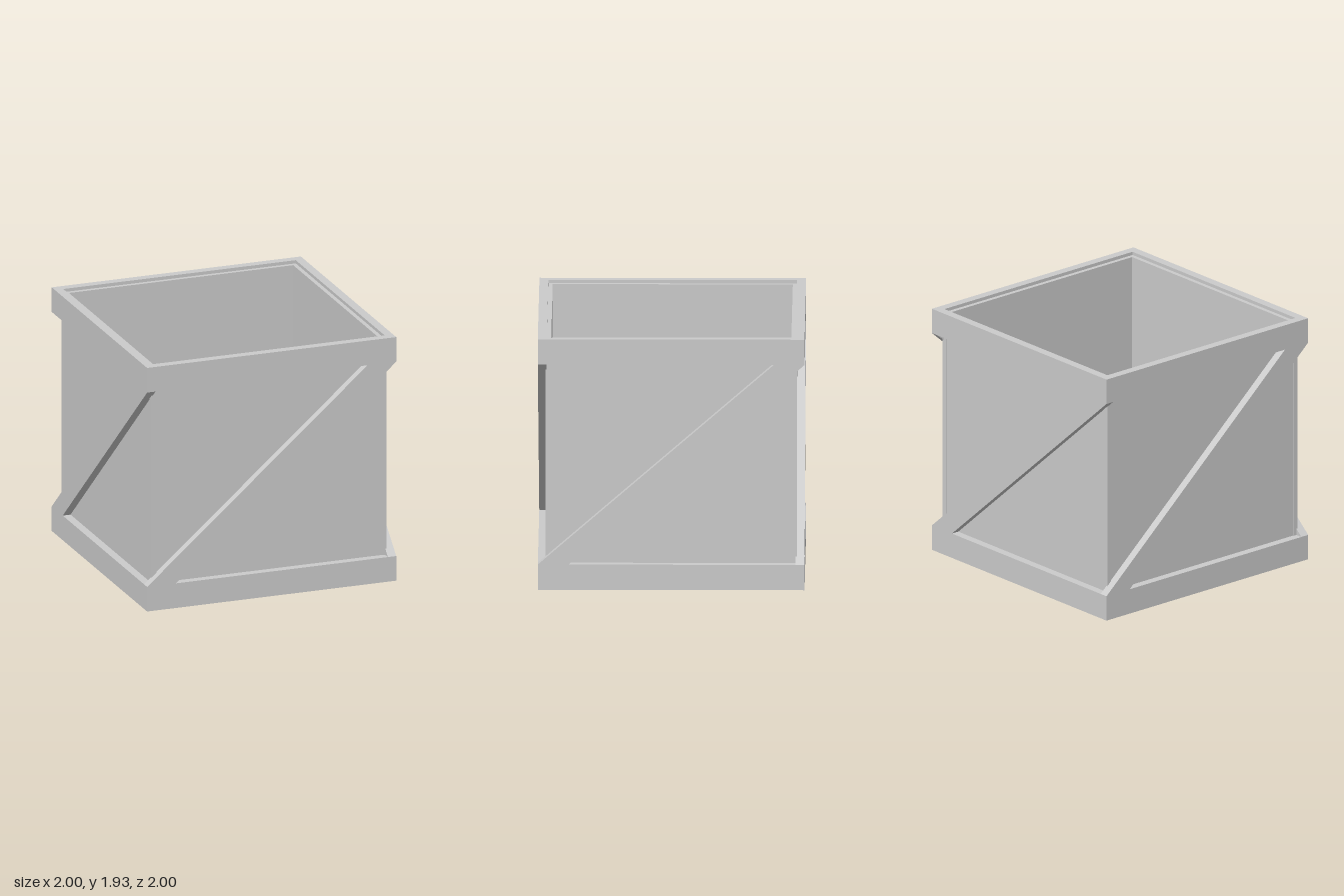
import * as THREE from 'three';

const HEIGHT = 1.93;
const BAND = 0.195; // height of the top and bottom bands
const WALL_BOTTOM = 0.023, WALL_TOP = 1.905;

const material = new THREE.MeshStandardMaterial({ color: 0xcccccc, flatShading: true });

function square(half, Type) {
  return new Type([[-1, -1], [1, -1], [1, 1], [-1, 1]].map(([x, y]) => new THREE.Vector2(x * half, y * half)));
}

// Square ring standing upright between two heights
function ring(name, outer, inner, y0, y1) {
  const shape = square(outer, THREE.Shape);
  shape.holes.push(square(inner, THREE.Path));
  const geometry = new THREE.ExtrudeGeometry(shape, { depth: y1 - y0, bevelEnabled: false });
  geometry.rotateX(-Math.PI / 2).translate(0, y0, 0);
  const mesh = new THREE.Mesh(geometry, material);
  mesh.name = name;
  return mesh;
}

function box(name, w, h, d, x, y, z) {
  const mesh = new THREE.Mesh(new THREE.BoxGeometry(w, h, d), material);
  mesh.name = name;
  mesh.position.set(x, y, z);
  return mesh;
}

export function createModel() {
  const crate = new THREE.Group();
  crate.name = 'crate';

  // Heavy bands around the top and bottom
  crate.add(ring('bottomBand', 1, 0.933, 0, BAND));
  crate.add(ring('topBand', 1, 0.933, HEIGHT - BAND, HEIGHT));

  // Thin walls and recessed floor, open at the top
  crate.add(ring('walls', 0.937, 0.9, WALL_BOTTOM, WALL_TOP));
  crate.add(box('floor', 1.84, 0.035, 1.84, 0, WALL_BOTTOM + 0.0175, 0));

  // Diagonal brace, flush with the bands; one per side, with a corner post
  const braceShape = new THREE.Shape([[-1, BAND], [-0.77, BAND], [1, HEIGHT - BAND], [0.77, HEIGHT - BAND]]
    .map(([x, y]) => new THREE.Vector2(x, y)));
  const braceGeometry = new THREE.ExtrudeGeometry(braceShape, { depth: 0.067, bevelEnabled: false });
  braceGeometry.translate(0, 0, 0.933);

  for (let i = 0; i < 4; i++) {
    const side = new THREE.Group();
    side.name = ['front', 'left', 'back', 'right'][i] + 'Side';
    side.rotation.y = i * Math.PI / 2;
    const brace = new THREE.Mesh(braceGeometry, material);
    brace.name = 'diagonalBrace';
    side.add(brace);
    side.add(box('cornerPost', 0.038, 1.7, 0.038, 0.924, HEIGHT / 2, 0.924));
    crate.add(side);
  }
  return crate;
}
